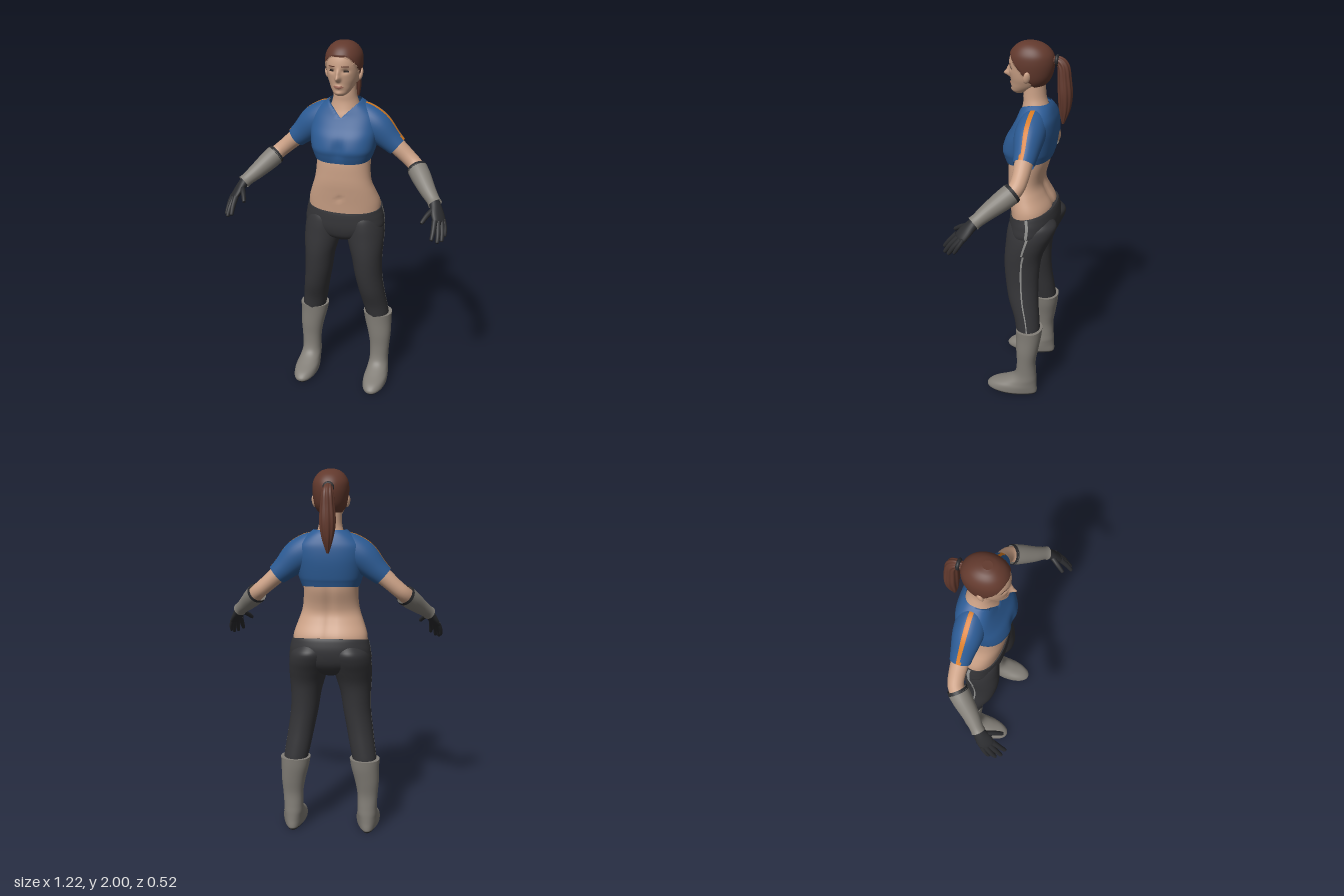
import * as THREE from 'three';

const mat = (name, color) => {
  const m = new THREE.MeshStandardMaterial({ color, side: THREE.DoubleSide });
  m.name = name;
  return m;
};
const bump = (d, w) => Math.exp(-(d / w) * (d / w));

// Smooth interpolation of every column of a table of sections
function refine(rows, sub) {
  const out = [], at = i => rows[Math.min(rows.length - 1, Math.max(0, i))];
  for (let i = 0; i < rows.length - 1; i++)
    for (let k = 0; k < sub; k++) {
      const t = k / sub, [a, b, c, d] = [at(i - 1), at(i), at(i + 1), at(i + 2)];
      out.push(b.map((v, j) => v + 0.5 * t * (c[j] - a[j] + t * (2 * a[j] - 5 * v + 4 * c[j] - d[j]
        + t * (3 * (v - c[j]) + d[j] - a[j])))));
    }
  out.push(rows[rows.length - 1]);
  return out;
}

// Mesh over closed rings; paint(centre, column) picks a material index per face
function surface(name, rings, mats, { paint = () => 0, cap = true } = {}) {
  if (cap) {
    const close = r => {
      const c = r.reduce((s, p) => s.add(p), new THREE.Vector3()).divideScalar(r.length);
      return r.map(() => c);
    };
    const a = rings[0], b = rings[rings.length - 1];
    rings = [close(a), a, ...rings, b, close(b)];
  }
  const n = rings[0].length, list = [].concat(mats), faces = list.map(() => []);
  for (let i = 0; i < rings.length - 1; i++)
    for (let j = 0; j < n; j++) {
      const k = (j + 1) % n, a = i * n + j, b = i * n + k, c = b + n, d = a + n;
      const mid = rings[i][j].clone().add(rings[i + 1][k]).multiplyScalar(0.5);
      faces[paint(mid, j)].push(a, b, c, a, c, d);
    }
  const g = new THREE.BufferGeometry().setFromPoints(rings.flat());
  g.setIndex(faces.flat());
  let start = 0;
  faces.forEach((f, i) => { g.addGroup(start, f.length, i); start += f.length; });
  g.computeVertexNormals();
  const mesh = new THREE.Mesh(g, list.length > 1 ? list : list[0]);
  mesh.name = name;
  return mesh;
}

// Upright loft: rows of [y, centreX, halfWidth, frontZ, backZ]
function loft(name, rows, mats, { seg = 48, sub = 5, n = 2, side = 1, warp, ...opt } = {}) {
  const pw = v => Math.sign(v) * Math.abs(v) ** (2 / n);
  const rings = refine(rows, sub).map(([y, cx, rx, zf, zb]) => Array.from({ length: seg }, (_, j) => {
    const t = j / seg * Math.PI * 2;
    const p = new THREE.Vector3(cx * side + rx * pw(Math.sin(t)), y, (zf + zb) / 2 + (zf - zb) / 2 * pw(Math.cos(t)));
    if (warp) warp(p);
    return p;
  }));
  return surface(name, rings, mats, opt);
}

// Limb along a path: rows of [x, y, z, radius toward ref, other radius]
function limb(name, rows, mats, { seg = 24, sub = 5, side = 1, ref = [0, 0, 1], ridge = 0, ...opt } = {}) {
  const s = refine(rows.map(r => [r[0] * side, r[1], r[2], r[3], r[4] ?? r[3]]), sub);
  const P = s.map(r => new THREE.Vector3(r[0], r[1], r[2]));
  const rings = s.map((r, i) => {
    const d = P[Math.min(i + 1, P.length - 1)].clone().sub(P[Math.max(i - 1, 0)]).normalize();
    const u = new THREE.Vector3(ref[0] * side, ref[1], ref[2]);
    u.addScaledVector(d, -u.dot(d)).normalize();
    const w = d.clone().cross(u);
    return Array.from({ length: seg }, (_, j) => {
      const t = j / seg * Math.PI * 2, k = 1 + ridge * Math.cos(9 * t + i * 0.15);
      return P[i].clone().addScaledVector(u, r[3] * k * Math.cos(t)).addScaledVector(w, r[4] * k * Math.sin(t));
    });
  });
  return surface(name, rings, mats, opt);
}

export function createModel() {
  const g = new THREE.Group();
  g.name = 'woman';
  const skin = mat('skin', 0xcba186), hair = mat('hair', 0x62392d), blue = mat('blue shirt', 0x2c5b94);
  const black = mat('black leggings', 0x343437), boot = mat('grey leather', 0x827e77), glove = mat('dark glove', 0x2a2b2e);
  const orange = mat('orange trim', 0xd67a20), silver = mat('silver trim', 0x8e8e8c);
  const dark = mat('eye dark', 0x2f2522), lip = mat('lips', 0xa8705f);

  // Head with painted hair, eyes, brows and lips
  const line = [[1.70, -0.13], [1.76, -0.09], [1.83, -0.035], [1.87, 0.0], [1.9, 0.03], [1.935, 0.055], [1.95, 0.2], [2.1, 0.2]];
  const isHair = p => {
    const i = Math.max(1, line.findIndex(l => l[0] > p.y)), [a, b] = [line[i - 1], line[i]];
    return p.z < a[1] + (b[1] - a[1]) * (p.y - a[0]) / (b[0] - a[0]);
  };
  g.add(loft('head', [
    [1.733, 0, 0.02, 0.043, 0.0], [1.745, 0, 0.038, 0.056, -0.03], [1.765, 0, 0.054, 0.06, -0.075],
    [1.79, 0, 0.068, 0.062, -0.115], [1.82, 0, 0.08, 0.066, -0.138], [1.86, 0, 0.087, 0.071, -0.152],
    [1.9, 0, 0.09, 0.071, -0.157], [1.935, 0, 0.086, 0.062, -0.15], [1.965, 0, 0.07, 0.042, -0.127],
    [1.985, 0, 0.047, 0.014, -0.094], [1.994, 0, 0.022, -0.015, -0.06],
  ], [skin, hair, dark, lip], {
    seg: 112, sub: 8, n: 2.1,
    warp: p => {
      const x = Math.abs(p.x), y = p.y;
      if (isHair(p)) {
        const out = new THREE.Vector3(p.x, y - 1.86, p.z + 0.05).normalize();
        p.addScaledVector(out, 0.006);
      } else if (p.z > 0) {
        p.z += 0.033 * bump(x, 0.011) * bump(y - 1.828, 0.014) + 0.016 * bump(x, 0.009) * bump(y - 1.852, 0.02)
          + 0.008 * bump(x, 0.02) * bump(y - 1.783, 0.011) + 0.006 * bump(x, 0.02) * bump(y - 1.75, 0.012)
          - 0.01 * bump(x - 0.036, 0.018) * bump(y - 1.866, 0.012);
      }
    },
    paint: p => {
      const x = Math.abs(p.x), y = p.y;
      if (isHair(p)) return 1;
      if (p.z < 0.02) return 0;
      if (x > 0.024 && x < 0.05 && Math.abs(y - 1.865) < 0.0035) return 2;
      if (x > 0.018 && x < 0.055 && Math.abs(y - 1.887) < 0.0025) return 1;
      return (x / 0.026) ** 2 + ((y - 1.783) / 0.008) ** 2 < 1 ? 3 : 0;
    },
  }));
  g.add(loft('neck', [
    [1.56, 0, 0.1, 0.02, -0.15], [1.61, 0, 0.098, 0.018, -0.15], [1.65, 0, 0.082, 0.006, -0.145],
    [1.69, 0, 0.068, -0.002, -0.13], [1.73, 0, 0.06, -0.002, -0.12], [1.81, 0, 0.058, -0.01, -0.115],
  ], skin));

  // Ponytail and its tie
  g.add(limb('ponytail', [
    [0, 1.9, -0.145, 0.018], [0, 1.912, -0.178, 0.022], [0, 1.885, -0.206, 0.03], [0, 1.82, -0.214, 0.036, 0.034],
    [0, 1.74, -0.219, 0.04, 0.036], [0, 1.66, -0.217, 0.028], [0, 1.585, -0.21, 0.006],
  ], hair, { seg: 54, ref: [1, 0, 0], ridge: 0.07 }));
  const tie = new THREE.Mesh(new THREE.TorusGeometry(0.021, 0.009, 10, 24), glove);
  tie.name = 'hairTie';
  tie.position.set(0, 1.912, -0.175);
  g.add(tie);

  // Bare midriff with a shallow spine groove and navel
  g.add(loft('midriff', [
    [1.05, 0, 0.2, 0.045, -0.17], [1.13, 0, 0.2, 0.053, -0.172], [1.2, 0, 0.178, 0.062, -0.137],
    [1.25, 0, 0.16, 0.068, -0.118], [1.3, 0, 0.15, 0.07, -0.122], [1.38, 0, 0.146, 0.068, -0.145], [1.45, 0, 0.15, 0.05, -0.15],
  ], skin, {
    seg: 64, n: 2.2, warp: p => {
      if (p.z < -0.08) p.z += 0.01 * bump(p.x, 0.025);
      else if (p.z > 0) p.z -= 0.008 * bump(p.x, 0.01) * bump(p.y - 1.17, 0.014);
    },
  }));

  // Cropped shirt with V neck
  g.add(loft('shirt', [
    [1.39, 0, 0.152, 0.078, -0.158], [1.42, 0, 0.163, 0.09, -0.165], [1.45, 0, 0.172, 0.097, -0.172],
    [1.51, 0, 0.18, 0.079, -0.18], [1.56, 0, 0.184, 0.05, -0.182], [1.61, 0, 0.178, 0.024, -0.178],
    [1.645, 0, 0.15, 0.01, -0.168], [1.675, 0, 0.112, 0, -0.155], [1.695, 0, 0.085, -0.003, -0.14],
  ], blue, {
    seg: 80, n: 2.5, cap: false, warp: p => {
      if (p.z > 0) p.z -= 0.014 * bump(p.x, 0.03) * bump(p.y - 1.45, 0.045);
      if (p.y < 1.44) p.y -= (p.z + 0.04) * 0.11 * (1.44 - p.y) / 0.05;
      if (p.z > -0.07) p.y = Math.min(p.y, 1.61 + Math.abs(p.x) * 0.94);
    },
  }));

  // Leggings: hips
  const seg = 64;
  const isStripe = (j, k) => j === k || j === seg - 1 - k;
  g.add(loft('hips', [
    [0.91, 0, 0.05, 0.01, -0.1], [0.94, 0, 0.15, 0.045, -0.15], [0.99, 0, 0.219, 0.06, -0.188],
    [1.05, 0, 0.22, 0.06, -0.201], [1.09, 0, 0.212, 0.058, -0.193], [1.107, 0, 0.208, 0.056, -0.184],
  ], [black, silver], {
    seg, n: 2.2, paint: (p, j) => p.y > 0.98 && Math.abs(p.x) > 0.15 && isStripe(j, 16) ? 1 : 0,
    warp: p => { if (p.y > 1.04) p.y -= (p.z + 0.06) * 0.2 * (p.y - 1.04) / 0.067; },
  }));

  for (const side of [1, -1]) {
    const pre = side > 0 ? 'left' : 'right';
    // Legging leg with side stripe
    g.add(loft(pre + 'Leg', [
      [0.38, 0.195, 0.062, -0.025, -0.145], [0.43, 0.192, 0.067, -0.015, -0.148], [0.5, 0.18, 0.07, 0.0, -0.141],
      [0.6, 0.163, 0.073, 0.035, -0.13], [0.7, 0.147, 0.077, 0.055, -0.126], [0.8, 0.138, 0.084, 0.065, -0.131],
      [0.87, 0.13, 0.095, 0.065, -0.143], [0.94, 0.121, 0.106, 0.06, -0.173], [1.0, 0.114, 0.108, 0.055, -0.202],
      [1.05, 0.107, 0.1, 0.045, -0.212], [1.09, 0.1, 0.075, 0.02, -0.18],
    ], [black, silver], {
      seg, side, paint: (p, j) => p.x * side > 0.18 && isStripe(j, p.y > 0.9 ? 16 : 17) ? 1 : 0,
    }));
    // Tall boot
    g.add(loft(pre + 'Boot', [
      [0.008, 0.212, 0.058, 0.148, -0.137], [0.016, 0.212, 0.066, 0.155, -0.14], [0.032, 0.212, 0.068, 0.153, -0.14],
      [0.055, 0.212, 0.067, 0.125, -0.138], [0.08, 0.211, 0.061, 0.062, -0.137], [0.11, 0.21, 0.056, 0.005, -0.136],
      [0.15, 0.21, 0.054, -0.018, -0.133], [0.22, 0.211, 0.057, -0.024, -0.131], [0.3, 0.207, 0.067, -0.02, -0.144],
      [0.38, 0.197, 0.077, -0.018, -0.157], [0.435, 0.193, 0.083, -0.015, -0.162],
    ], boot, {
      side, n: 2.15, warp: p => { // narrower heel
        if (p.y < 0.1) p.x += (0.211 * side - p.x) * 0.22 * bump(p.z + 0.12, 0.09) * (1 - p.y / 0.1);
      },
    }));
    g.add(loft(pre + 'Sole', [
      [0, 0.212, 0.055, 0.143, -0.134], [0.01, 0.212, 0.059, 0.15, -0.139],
    ], glove, { side, sub: 1, warp: p => { p.x += (0.211 * side - p.x) * 0.22 * bump(p.z + 0.12, 0.09); } }));
    // Sleeve with a stripe along its top
    g.add(limb(pre + 'Sleeve', [
      [0.07, 1.6, -0.08, 0.07, 0.08], [0.1, 1.59, -0.08, 0.076, 0.09], [0.17, 1.553, -0.078, 0.077, 0.086],
      [0.24, 1.49, -0.08, 0.062, 0.066], [0.283, 1.453, -0.08, 0.053, 0.056],
    ], [blue, orange], {
      seg: 40, side, cap: false,
      paint: p => Math.abs(p.z + 0.079) < 0.012 && p.y > 1.61 - 0.767 * (Math.abs(p.x) - 0.1) ? 1 : 0,
    }));
    // Bare arm
    g.add(limb(pre + 'Arm', [
      [0.22, 1.505, -0.08, 0.046], [0.28, 1.455, -0.08, 0.046], [0.34, 1.402, -0.079, 0.042],
      [0.385, 1.363, -0.068, 0.041], [0.42, 1.328, -0.03, 0.042], [0.46, 1.29, 0.02, 0.036],
    ], skin, { side }));
    // Forearm guard and its dark rim
    g.add(limb(pre + 'ForearmGuard', [
      [0.4, 1.347, -0.052, 0.054], [0.43, 1.318, -0.015, 0.052], [0.475, 1.275, 0.042, 0.043],
      [0.515, 1.24, 0.085, 0.035], [0.53, 1.226, 0.102, 0.037],
    ], boot, { side, cap: false }));
    g.add(limb(pre + 'GuardRim', [[0.392, 1.354, -0.061, 0.051], [0.402, 1.345, -0.05, 0.055]], glove, { side, cap: false }));
    // Gloved hand
    const hand = new THREE.Group();
    hand.name = pre + 'Hand';
    hand.add(limb('palm', [
      [0.52, 1.236, 0.09, 0.03, 0.028], [0.535, 1.215, 0.112, 0.034, 0.024], [0.55, 1.187, 0.137, 0.041, 0.021],
      [0.565, 1.158, 0.16, 0.04, 0.017], [0.569, 1.149, 0.166, 0.03, 0.01],
    ], glove, { side, ref: [-0.6, 0.1, 0.8] }));
    const fingers = {
      index: [[0.545, 1.168, 0.182], [0.547, 1.128, 0.22], [0.545, 1.092, 0.249]],
      middle: [[0.56, 1.16, 0.17], [0.57, 1.115, 0.21], [0.573, 1.077, 0.238]],
      ring: [[0.574, 1.156, 0.153], [0.587, 1.114, 0.187], [0.591, 1.077, 0.213]],
      little: [[0.582, 1.16, 0.137], [0.596, 1.122, 0.16], [0.6, 1.09, 0.18]],
      thumb: [[0.532, 1.212, 0.125], [0.505, 1.19, 0.172], [0.485, 1.162, 0.212]],
    };
    for (const [name, pts] of Object.entries(fingers)) {
      const [a, b, c] = pts, tip = c.map((v, i) => v + (c[i] - b[i]) * 0.1), r = name === 'little' ? 0.011 : 0.013;
      hand.add(limb(name + 'Finger', [[...a, r + 0.002], [...b, r], [...c, r * 0.75], [...tip, r * 0.35]], glove, { seg: 12, side }));
    }
    g.add(hand);
    // Ear
    const ear = new THREE.Mesh(new THREE.SphereGeometry(1, 16, 12), skin);
    ear.name = pre + 'Ear';
    ear.scale.set(0.011, 0.031, 0.018);
    ear.position.set(0.089 * side, 1.836, -0.042);
    ear.rotation.set(-0.15, 0.35 * side, -0.12 * side);
    g.add(ear);
  }
  return g;
}
